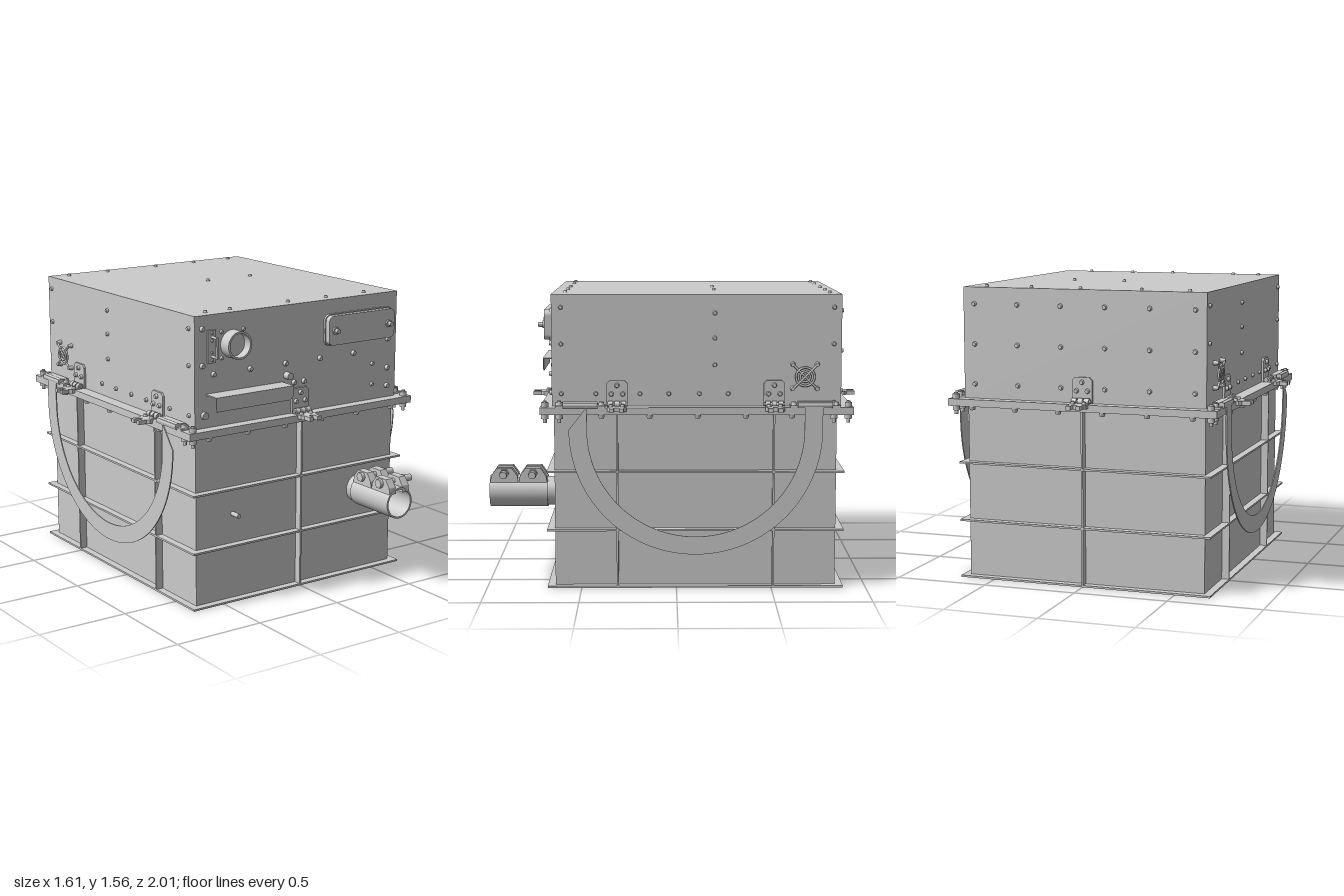
import * as THREE from 'three';

const mat = new THREE.MeshStandardMaterial({ color: 0xcccccc, side: THREE.DoubleSide });

function add(parent, name, geo, x = 0, y = 0, z = 0) {
  const m = new THREE.Mesh(geo, mat);
  m.name = name;
  m.position.set(x, y, z);
  parent.add(m);
  return m;
}

// Box given by its minimum and maximum corners
function block(parent, name, [x0, x1], [y0, y1], [z0, z1]) {
  return add(parent, name, new THREE.BoxGeometry(x1 - x0, y1 - y0, z1 - z0),
    (x0 + x1) / 2, (y0 + y1) / 2, (z0 + z1) / 2);
}

function rod(parent, name, r, len, axis, x, y, z, seg = 20) {
  const g = new THREE.CylinderGeometry(r, r, len, seg);
  if (axis === 'x') g.rotateZ(Math.PI / 2);
  if (axis === 'z') g.rotateX(Math.PI / 2);
  return add(parent, name, g, x, y, z);
}

// Bolt head whose base sits at the local origin and which points along +z
const boltGeo = new THREE.CylinderGeometry(0.011, 0.015, 0.016, 12).rotateX(Math.PI / 2).translate(0, 0, 0.008);
function bolt(parent, x, y, z, s = 1) {
  const m = add(parent, 'bolt', boltGeo, x, y, z);
  m.scale.setScalar(s);
  return m;
}

// Sub-group standing on a wall: local +z points out of the wall
function wallGroup(parent, name, x, z, angle) {
  const g = new THREE.Group();
  g.name = name;
  g.position.set(x, 0, z);
  g.rotation.y = angle;
  parent.add(g);
  return g;
}

function polygon(pts) {
  return new THREE.Shape(pts.map(([a, b]) => new THREE.Vector2(a, b)));
}

function extrude(shape, depth, curveSegments = 16) {
  return new THREE.ExtrudeGeometry(shape, { depth, bevelEnabled: false, curveSegments });
}

function roundedRect(w, h, r) {
  const s = new THREE.Shape();
  s.absarc(w / 2 - r, h / 2 - r, r, 0, Math.PI / 2);
  s.absarc(-w / 2 + r, h / 2 - r, r, Math.PI / 2, Math.PI);
  s.absarc(-w / 2 + r, -h / 2 + r, r, Math.PI, Math.PI * 1.5);
  s.absarc(w / 2 - r, -h / 2 + r, r, Math.PI * 1.5, Math.PI * 2);
  return s;
}

// Hinged latch with wall plate, knuckles and forked tongue
function latch(parent, x, z, angle) {
  const g = wallGroup(parent, 'latch', x, z, angle);
  add(g, 'latchPlate', extrude(polygon([[-0.055, 0.965], [0.055, 0.965], [0.055, 1.085], [0.04, 1.1],
    [-0.04, 1.1], [-0.055, 1.085]]), 0.012));
  for (const [bx, by] of [[-0.03, 1.03], [0.03, 1.03], [0, 1.075]]) bolt(g, bx, by, 0.012, 0.9);
  for (const kx of [-0.034, 0, 0.034]) rod(g, 'knuckle', 0.018, 0.026, 'x', kx, 0.977, 0.03);
  rod(g, 'hingePin', 0.009, 0.11, 'x', 0, 0.977, 0.03, 12);
  const fork = extrude(polygon([[-0.05, 0.03], [0.05, 0.03], [0.05, 0.085], [0.038, 0.1], [0.038, 0.145],
    [0.014, 0.145], [0.014, 0.105], [-0.014, 0.105], [-0.014, 0.145], [-0.038, 0.145], [-0.038, 0.1],
    [-0.05, 0.085]]), 0.022).rotateX(Math.PI / 2);
  add(g, 'fork', fork, 0, 0.969, 0);
  for (const s of [-1, 1]) bolt(g, s * 0.03, 0.969, 0.065, 0.8).rotation.x = -Math.PI / 2;
}

// Round vent guard with four legs
function guard(parent, x, y) {
  const g = new THREE.Group();
  g.name = 'ventGuard';
  g.position.set(x, y, 0);
  parent.add(g);
  for (const r of [0.048, 0.026]) add(g, 'guardRing', new THREE.TorusGeometry(r, 0.006, 8, 32), 0, 0, 0.022);
  for (let i = 0; i < 4; i++) {
    const a = Math.PI / 4 + i * Math.PI / 2, c = Math.cos(a), s = Math.sin(a);
    const leg = rod(g, 'guardLeg', 0.006, 0.09, 'x', c * 0.045, s * 0.045, 0.022, 8);
    leg.rotation.z = a;
    bolt(g, c * 0.09, s * 0.09, 0, 0.9).scale.z = 1.7;
  }
}

function buildTank(root) {
  const g = new THREE.Group();
  g.name = 'tank';
  root.add(g);
  block(g, 'tankBody', [-0.65, 0.65], [0.005, 0.93], [-0.84, 0.64]);
  block(g, 'bottomPlate', [-0.69, 0.69], [0, 0.01], [-0.88, 0.68]);
  for (const y of [0.31, 0.62]) block(g, 'horizontalRib', [-0.69, 0.69], [y - 0.005, y + 0.005], [-0.88, 0.68]);
  block(g, 'frontBackRib', [-0.005, 0.005], [0.005, 0.93], [-0.88, 0.68]);
  for (const z of [0.31, -0.51]) block(g, 'sideRib', [-0.69, 0.69], [0.005, 0.93], [z - 0.005, z + 0.005]);
  block(g, 'rimFlange', [-0.73, 0.73], [0.927, 0.965], [-0.92, 0.71]);
  // Bolts under the rim
  const under = (x, z) => { bolt(g, x, 0.927, z, 1.2).rotation.x = Math.PI / 2; };
  for (const x of [-0.6, -0.36, -0.12, 0.12, 0.36, 0.6]) for (const z of [-0.9, 0.69]) under(x, z);
  for (const z of [0.39, 0.14, -0.11, -0.36, -0.6]) for (const x of [-0.71, 0.71]) under(x, z);
  // Corner through-bolts
  for (const x of [-0.695, 0.695]) for (const z of [-0.895, -0.82, 0.61, 0.685]) {
    rod(g, 'cornerBolt', 0.01, 0.115, 'y', x, 0.94, z, 12);
    rod(g, 'cornerNut', 0.019, 0.025, 'y', x, 0.977, z, 6);
    rod(g, 'cornerNut', 0.019, 0.025, 'y', x, 0.915, z, 6);
  }
  rod(g, 'drainStub', 0.012, 0.07, 'z', -0.42, 0.475, 0.665, 12);
}

function buildPipe(root) {
  const g = wallGroup(root, 'outletPipe', 0.415, 0, 0);
  g.position.y = 0.475;
  const profile = [[0.07, 0.645], [0.077, 0.645], [0.077, 0.69], [0.086, 0.69], [0.086, 1], [0.076, 1], [0.076, 0.645]];
  const pts = profile.flatMap(([r, z]) => [[r, z], [r, z]]).map(([r, z]) => new THREE.Vector2(r, z));
  const tube = new THREE.LatheGeometry(pts, 40).rotateX(Math.PI / 2);
  add(g, 'pipeSleeve', tube);
  // Two screw clamps on top of the sleeve
  for (const z of [0.922, 0.768]) {
    for (const x of [-0.045, 0.045]) {
      const lug = extrude(polygon([[-0.075, 0.055], [0.075, 0.055], [0.07, 0.09], [0.04, 0.132],
        [-0.04, 0.132], [-0.07, 0.09]]), 0.045).rotateY(-Math.PI / 2);
      add(g, 'clampLug', lug, x + 0.0225, 0, z);
    }
    rod(g, 'clampScrew', 0.014, 0.21, 'x', 0.03, 0.103, z, 16);
    rod(g, 'clampNut', 0.026, 0.025, 'x', -0.075, 0.103, z, 6);
    rod(g, 'clampNut', 0.026, 0.022, 'x', 0.078, 0.103, z, 6);
    rod(g, 'clampScrewHead', 0.019, 0.045, 'x', 0.115, 0.103, z, 16);
  }
}

function buildStrap(root, side) {
  const g = new THREE.Group();
  g.name = side > 0 ? 'leftStrap' : 'rightStrap';
  root.add(g);
  // Hanging U-shaped band
  const s = new THREE.Shape();
  s.moveTo(0.66, 0.97);
  s.absarc(0, 0.85, 0.66, 0, -Math.PI, true);
  s.lineTo(-0.66, 0.97);
  s.lineTo(-0.565, 0.97);
  s.absarc(0, 0.85, 0.565, -Math.PI, 0, false);
  s.lineTo(0.565, 0.97);
  add(g, 'strapBand', extrude(s, 0.006, 48).rotateY(-Math.PI / 2), side * 0.735 + 0.003, 0, -0.1);
  // Pads and clamp plates over the rim
  for (const [z, dir] of [[0.5, 1], [-0.72, -1]]) {
    const xs = (a, b) => (side > 0 ? [a, b] : [-b, -a]);
    block(g, 'strapPlate', xs(0.665, 0.73), [0.965, 0.975], [z - 0.13, z + 0.13]);
    block(g, 'strapPad', xs(0.675, 0.738), [0.965, 0.992], [z - 0.09, z + 0.09]);
    rod(g, 'strapRoll', 0.018, 0.18, 'z', side * 0.722, 0.978, z, 16);
    for (const e of [-0.11, 0.11]) bolt(g, side * 0.7, 0.975, z + e, 1.1).rotation.x = -Math.PI / 2;
  }
}

function buildFront(root) {
  const g = wallGroup(root, 'frontPanel', 0, 0.65, 0);
  // Cover plate with rounded corners
  add(g, 'coverGasket', extrude(roundedRect(0.46, 0.17, 0.035), 0.012), 0.39, 1.385, 0);
  add(g, 'coverPlate', extrude(roundedRect(0.448, 0.158, 0.03), 0.04), 0.39, 1.385, 0);
  for (const x of [0.207, 0.57]) {
    rod(g, 'coverWasher', 0.02, 0.012, 'z', x, 1.385, 0.044);
    rod(g, 'coverScrew', 0.013, 0.035, 'z', x, 1.385, 0.055, 6);
  }
  // Round socket with open bore
  const ring = new THREE.Shape().absarc(0, 0, 0.073, 0, Math.PI * 2);
  ring.holes.push(new THREE.Path().absarc(0, 0, 0.062, 0, Math.PI * 2, true));
  add(g, 'socketRing', extrude(ring, 0.07, 24), -0.428, 1.385, 0);
  rod(g, 'socketFace', 0.064, 0.02, 'z', -0.428, 1.385, 0.01, 32);
  for (const a of [-1, 1]) for (const b of [-1, 1]) bolt(g, -0.428 + a * 0.068, 1.385 + b * 0.068, 0, 0.7);
  // Slim handle plate
  block(g, 'handlePlate', [-0.585, -0.537], [1.3, 1.47], [0, 0.012]);
  block(g, 'handleGrip', [-0.567, -0.555], [1.33, 1.44], [0.05, 0.062]);
  for (const y of [1.335, 1.435]) {
    rod(g, 'handlePost', 0.007, 0.05, 'z', -0.561, y, 0.03, 10);
    for (const s of [-0.02, 0.02]) bolt(g, -0.561, y + s, 0.012, 0.5);
  }
  // Awning with chamfered lip
  block(g, 'awningTop', [-0.595, -0.11], [1.136, 1.142], [0, 0.1]);
  add(g, 'awningLip', extrude(polygon([[-0.595, 1.142], [-0.595, 1.068], [-0.135, 1.068], [-0.11, 1.09],
    [-0.11, 1.142]]), 0.006), 0, 0, 0.096);
  rod(g, 'plug', 0.019, 0.04, 'z', -0.085, 1.175, 0.02);
  rod(g, 'plug', 0.019, 0.02, 'z', -0.605, 1.032, 0.01);
  for (const x of [-0.545, -0.318, -0.092, 0.135, 0.362]) bolt(g, x, 1.24, 0);
  for (const [x, y] of [[-0.615, 1.48], [-0.615, 1.29], [0.6, 1.29], [0.6, 1.13], [0.6, 1.03],
    [-0.035, 1.13], [0.03, 1.13]]) bolt(g, x, y, 0);
  for (const y of [1.05, 1.165]) bolt(g, 0.495, y, 0, 0.8);
}

export function createModel() {
  const root = new THREE.Group();
  root.name = 'enclosure';
  buildTank(root);
  buildPipe(root);
  block(root, 'upperHousing', [-0.66, 0.66], [0.96, 1.548], [-0.86, 0.65]);
  buildFront(root);

  // Lid screws
  const lid = [[0, -0.205], [0.29, -0.205]];
  for (const x of [-0.555, -0.3, 0.03, 0.3, 0.55]) lid.push([x, -0.805]);
  for (const x of [-0.55, -0.4, -0.03, 0.22, 0.48]) lid.push([x, 0.585]);
  for (const [x, z] of lid) bolt(root, x, 1.548, z, 0.7).rotation.x = -Math.PI / 2;

  // Side walls: screws, vent guard, latches, strap
  for (const side of [1, -1]) {
    const wall = wallGroup(root, side > 0 ? 'leftWall' : 'rightWall', side * 0.66, 0, side * Math.PI / 2);
    for (const z of [0.6, 0.42, 0.19, 0.04, -0.12, -0.27]) bolt(wall, -side * z, 1.03, 0, 0.8);
    for (const y of [1.29, 1.48]) for (const z of [0.6, -0.82]) bolt(wall, -side * z, y, 0, 0.8);
    for (const y of [1.18, 1.32, 1.45]) bolt(wall, side * 0.2, y, 0, 0.8);
    guard(wall, side * 0.67, 1.12);
    for (const z of [0.31, -0.51]) latch(root, side * 0.66, z, side * Math.PI / 2);
    buildStrap(root, side);
  }

  // Back wall screws
  const back = wallGroup(root, 'backWall', 0, -0.86, Math.PI);
  for (const y of [1.04, 1.25, 1.46]) for (const x of [-0.6, -0.36, -0.12, 0.12, 0.36, 0.6]) bolt(back, x, y, 0, 0.9);

  latch(root, 0, 0.65, 0);
  latch(root, 0, -0.86, Math.PI);
  return root;
}
